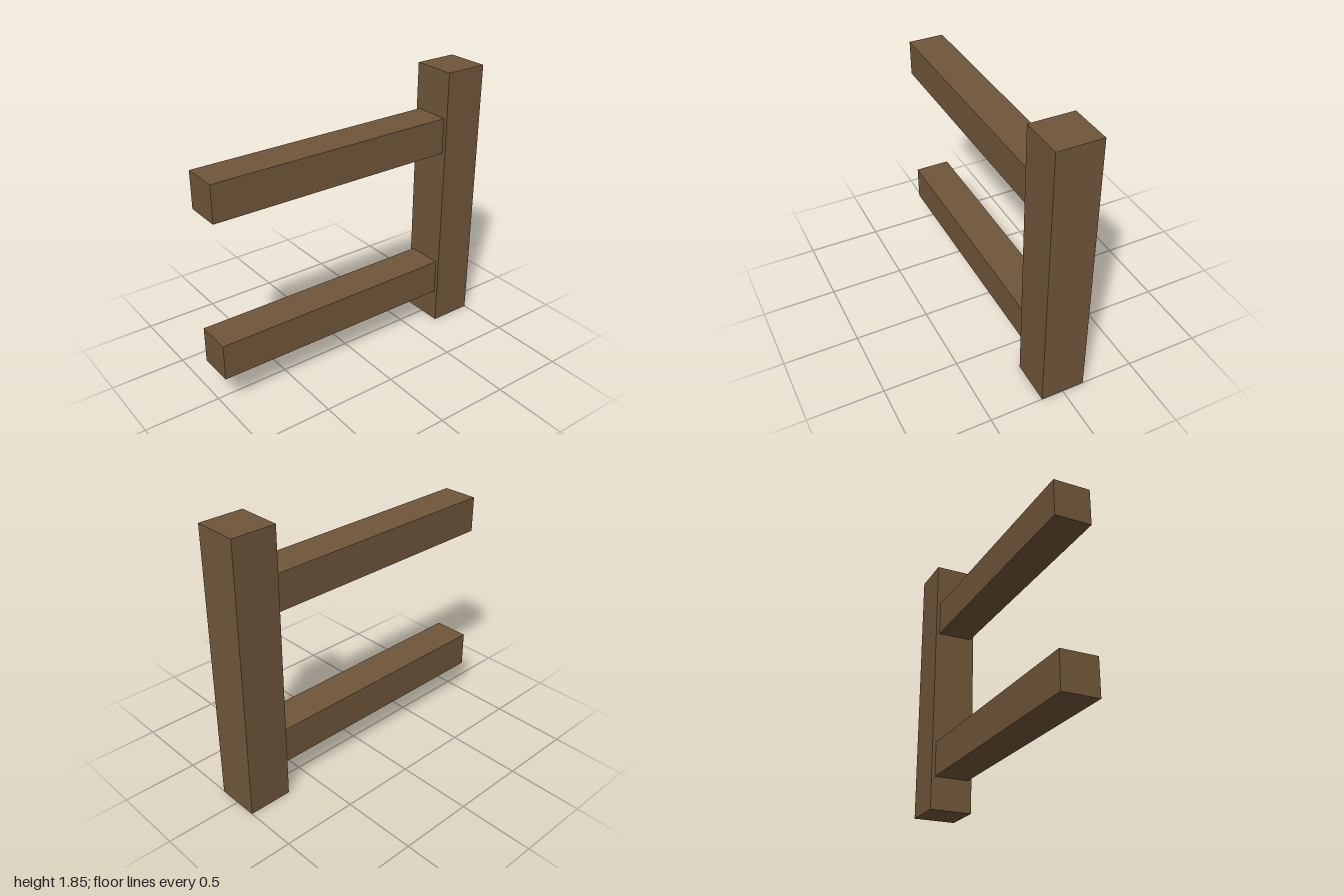
import * as THREE from 'three';

export function createModel() {
  const group = new THREE.Group();
  const wood = new THREE.MeshStandardMaterial({ color: 0x70563a });
  wood.name = 'brown wood';

  const beam = (name, width, height, depth, x, y) => {
    const mesh = new THREE.Mesh(new THREE.BoxGeometry(width, height, depth), wood);
    mesh.name = name;
    mesh.position.set(x, y, 0);
    group.add(mesh);
  };

  // Upright post at the left end
  const postWidth = 0.294;
  const postHeight = 1.848;
  beam('post', postWidth, postHeight, postWidth, 1 - postWidth / 2, postHeight / 2);

  // Two square rails butting against the post
  const railSize = 0.243;
  const railLength = 2 - postWidth;
  for (const [name, y] of [['lowerRail', 0.348], ['upperRail', 1.417]]) {
    beam(name, railLength, railSize, railSize, -1 + railLength / 2, y);
  }

  return group;
}
